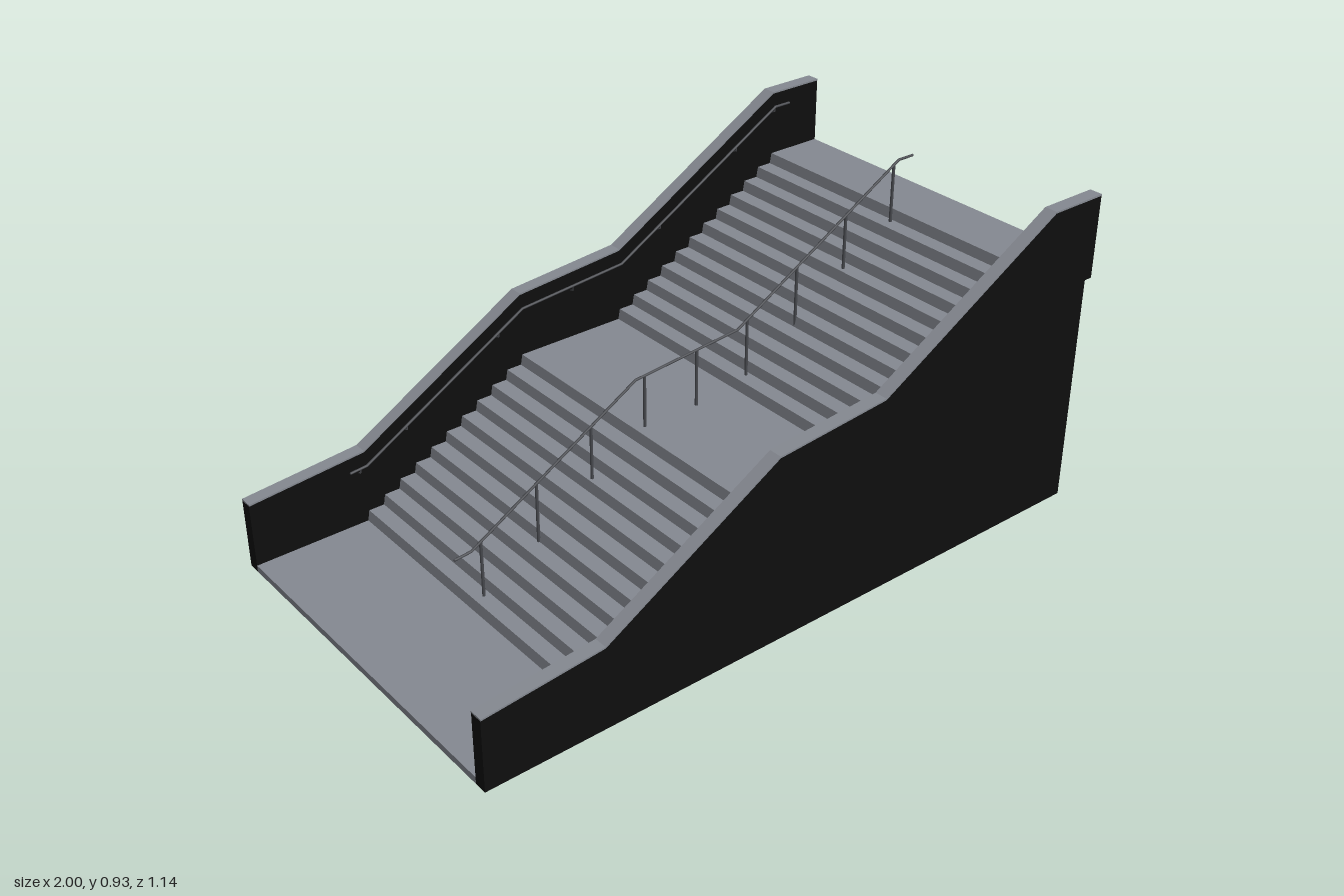
import * as THREE from 'three';

const concrete = new THREE.MeshStandardMaterial({ color: 0x858991 });
concrete.name = 'concrete grey';
const wallBlack = new THREE.MeshStandardMaterial({ color: 0x0e0e0e });
wallBlack.name = 'wall black';
const metal = new THREE.MeshStandardMaterial({ color: 0x484a4f });
metal.name = 'rail metal';

const BASE = 0.02, TOP = 0.735, RISERS = 23, RISE = (TOP - BASE) / RISERS;
const TREAD = 0.0533, SLANT = 0.006, INNER = 0.53, WALL = 0.037;
const FLIGHTS = [{ x: -0.65, count: 11 }, { x: 0.235, count: 12 }];

// Nose position of every riser, from the bottom up
const noses = FLIGHTS.flatMap(f => Array.from({ length: f.count }, (_, i) => f.x + i * TREAD));
const floorAt = x => BASE + RISE * noses.filter(n => n <= x).length;

// Line through the noses, which the wall tops and rails follow
const slope = [
  [-1, BASE], [-0.65, BASE + RISE], [-0.117, BASE + 11 * RISE],
  [0.235, BASE + 12 * RISE], [0.821, TOP], [1, TOP],
];
function slopeAt(x) {
  const i = Math.max(1, slope.findIndex(p => p[0] >= x));
  const [a, b] = [slope[i - 1], slope[i]];
  return a[1] + (b[1] - a[1]) * (x - a[0]) / (b[0] - a[0]);
}

function extrude(name, points, z, depth, material) {
  const shape = new THREE.Shape(points.map(p => new THREE.Vector2(...p)));
  const geometry = new THREE.ExtrudeGeometry(shape, { depth, bevelEnabled: false });
  const mesh = new THREE.Mesh(geometry, material);
  mesh.position.z = z;
  mesh.name = name;
  return mesh;
}

function rod(name, a, b, radius) {
  const from = new THREE.Vector3(...a), to = new THREE.Vector3(...b);
  const dir = to.clone().sub(from);
  const mesh = new THREE.Mesh(new THREE.CylinderGeometry(radius, radius, dir.length(), 10), metal);
  mesh.position.copy(from).add(to).multiplyScalar(0.5);
  mesh.quaternion.setFromUnitVectors(new THREE.Vector3(0, 1, 0), dir.normalize());
  mesh.name = name;
  return mesh;
}

// Handrail with level ends, following the slope at a fixed height
const RAIL = 0.153;
function handrail(name, z) {
  const group = new THREE.Group();
  group.name = name;
  const path = [-0.7, -0.65, -0.117, 0.235, 0.821, 0.875].map(x => [x, slopeAt(x) + RAIL, z]);
  path.forEach((p, i) => {
    if (i) group.add(rod('railBar', path[i - 1], p, 0.0038));
    const joint = new THREE.Mesh(new THREE.SphereGeometry(0.0038, 10, 8), metal);
    joint.position.set(...p);
    joint.name = 'railJoint';
    group.add(joint);
  });
  return group;
}

export function createModel() {
  const model = new THREE.Group();
  model.name = 'staircase';

  // Solid stair body with two flights, three landings and a lip at the top
  const profile = [[-1, 0], [0.975, 0], [0.975, 0.685], [1, 0.685], [1, TOP]];
  for (let i = RISERS - 1; i >= 0; i--) {
    profile.push([noses[i], BASE + (i + 1) * RISE], [noses[i] - SLANT, BASE + i * RISE]);
  }
  profile.push([-1, BASE]);
  model.add(extrude('stairBody', profile, -INNER, 2 * INNER, concrete));

  // Side walls with thin caps
  const CAP = 0.005;
  const capTop = slope.map(([x, y]) => [x, y + 0.196]);
  const capBottom = capTop.map(([x, y]) => [x, y - CAP]);
  const wall = [[-1, 0], [0.975, 0], [0.975, 0.685], [1, 0.685], ...[...capBottom].reverse()];
  const cap = [...capBottom, ...[...capTop].reverse()];
  for (const side of [1, -1]) {
    const label = side > 0 ? 'front' : 'back';
    const z = side > 0 ? INNER : -INNER - WALL;
    model.add(extrude(label + 'Wall', wall, z, WALL, wallBlack));
    model.add(extrude(label + 'WallCap', cap, z - 0.001, WALL + 0.002, concrete));

    // Wall rail held by small bent brackets
    const rail = handrail(label + 'Handrail', side * 0.518);
    for (const x of [-0.67, -0.515, -0.2, 0.06, 0.38, 0.67, 0.82]) {
      const y = slopeAt(x) + RAIL;
      rail.add(rod('bracket', [x, y, side * 0.518], [x, y - 0.014, side * 0.52], 0.002));
      rail.add(rod('bracket', [x, y - 0.014, side * 0.52], [x, y - 0.02, side * 0.532], 0.002));
    }
    model.add(rail);
  }

  // Centre rail on nine evenly spaced posts
  const centre = handrail('centreHandrail', 0);
  for (let i = 0; i < 9; i++) {
    const x = 0.803 - i * 0.178;
    centre.add(rod('post', [x, floorAt(x) - 0.002, 0], [x, slopeAt(x) + RAIL, 0], 0.0045));
  }
  model.add(centre);
  return model;
}
